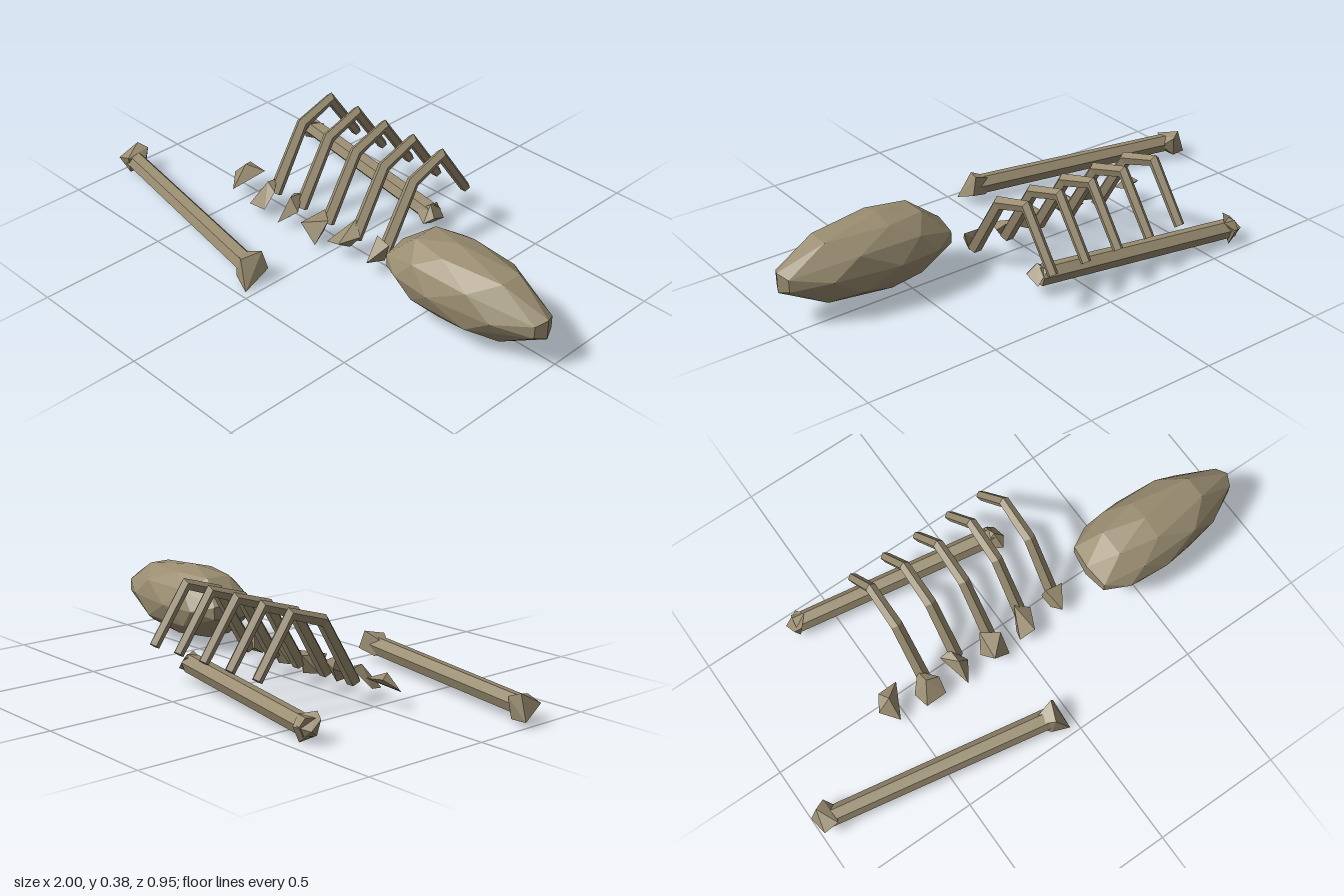
import * as THREE from 'three';
import { ConvexGeometry } from 'three/addons/geometries/ConvexGeometry.js';

export function createModel() {
  const model = new THREE.Group();
  const bone = new THREE.MeshStandardMaterial({ color: 0x998c70, flatShading: true });
  bone.name = 'old bone';

  const add = (name, geometry, parent = model) => {
    const mesh = new THREE.Mesh(geometry, bone);
    mesh.name = name;
    parent.add(mesh);
    return mesh;
  };
  const hull = (points) => new ConvexGeometry(points.map((p) => new THREE.Vector3(...p)));

  // Skull: a faceted ball, blunt at the back and drawn out to a snout
  const skull = new THREE.IcosahedronGeometry(1, 1).rotateX(Math.PI / 2);
  const pos = skull.attributes.position;
  for (let i = 0; i < pos.count; i++) {
    const u = THREE.MathUtils.clamp(pos.getX(i) / 0.851, -1, 1);
    const a = Math.abs(u);
    const taperY = 1 - 0.5 * THREE.MathUtils.smoothstep(a, 0.6, 1);
    const taperZ = u > 0 ? 1 - 0.5 * u ** 3 : 1 + 0.22 * a * a;
    pos.setXYZ(i, 0.6 + u * (u > 0 ? 0.4 : 0.26),
      0.175 + pos.getY(i) * 0.145 * taperY, 0.056 + pos.getZ(i) * 0.157 * taperZ);
  }
  skull.computeVertexNormals();
  add('skull', skull);

  // Rib: five-sided bar with mitred bends, following [z, y, radius] points
  const path = [[0.02, 0.06, 0.027], [-0.132, 0.306, 0.024], [-0.282, 0.354, 0.021], [-0.43, 0.148, 0.02]];
  const sides = 5;
  const ribGeometry = () => {
    const verts = [], index = [];
    path.forEach(([z, y, r], i) => {
      const dir = (j) => new THREE.Vector2(path[j + 1][0] - path[j][0], path[j + 1][1] - path[j][1]).normalize();
      const d0 = dir(Math.max(i - 1, 0)), d1 = dir(Math.min(i, path.length - 2));
      const t = d0.clone().add(d1).normalize();
      const stretch = r / t.dot(d0);
      for (let k = 0; k < sides; k++) {
        const a = (k / sides) * Math.PI * 2 + Math.PI / 2;
        const s = Math.sin(a) * stretch;
        verts.push(Math.cos(a) * r, y - t.x * s, z + t.y * s);
        if (i) {
          const p = (i - 1) * sides, n = (k + 1) % sides;
          index.push(p + k, p + n, p + sides + k, p + n, p + sides + n, p + sides + k);
        }
      }
    });
    const last = (path.length - 1) * sides;
    for (let k = 1; k < sides - 1; k++) {
      index.push(0, k + 1, k, last, last + k, last + k + 1);
    }
    const g = new THREE.BufferGeometry();
    g.setAttribute('position', new THREE.Float32BufferAttribute(verts, 3));
    // Keep the faces outward whichever way the path runs
    const v = (n) => new THREE.Vector3().fromArray(verts, index[n] * 3);
    const normal = v(1).sub(v(0)).cross(v(2).sub(v(0)));
    const outward = v(0).add(v(1)).multiplyScalar(0.5).sub(new THREE.Vector3(0, path[0][1], path[0][0]));
    if (normal.dot(outward) < 0) index.reverse();
    g.setIndex(index);
    g.computeVertexNormals();
    return g;
  };
  const ribs = new THREE.Group();
  ribs.name = 'ribs';
  model.add(ribs);
  for (let i = 0; i < 5; i++) {
    const rib = add('rib', ribGeometry(), ribs);
    rib.position.x = -0.373 + i * 0.146;
    rib.rotation.y = 0.02;
  }

  // Vertebrae: irregular chips in a row
  const vertebrae = new THREE.Group();
  vertebrae.name = 'vertebrae';
  model.add(vertebrae);
  [
    [[-0.585, 0.07, 0.04], [-0.55, 0.11, -0.01], [-0.47, 0.1, -0.015], [-0.53, 0.04, 0.1], [-0.53, 0.125, 0.03]],
    [[-0.385, 0.11, 0], [-0.435, 0.04, 0.05], [-0.42, 0.03, 0.11], [-0.335, 0.04, 0.11], [-0.33, 0.1, 0.06], [-0.38, 0.12, 0.05]],
    [[-0.285, 0.09, 0], [-0.24, 0.11, 0], [-0.2, 0.07, 0.06], [-0.245, 0.03, 0.125], [-0.24, 0.12, 0.06], [-0.25, 0.025, 0.05]],
    [[-0.11, 0.1, 0.005], [-0.145, 0.03, 0.06], [-0.12, 0.09, 0.12], [-0.05, 0.02, 0.115], [-0.045, 0.1, 0.05], [-0.09, 0.025, 0.03]],
    [[0.05, 0.13, 0], [0.105, 0.09, 0.03], [0.07, 0.08, 0.11], [0.005, 0.06, 0.105], [0.02, 0.03, 0.06], [0.06, 0.03, 0.04]],
    [[0.17, 0.07, 0.01], [0.18, 0.13, 0.02], [0.25, 0.125, 0.03], [0.205, 0.06, 0.1], [0.23, 0.05, 0.03], [0.18, 0.04, 0.06]],
  ].forEach((points) => add('vertebra', hull(points), vertebrae));

  // Long bones: six-sided shaft with a knobbly joint at each end
  const longBone = (name, from, to, knobs) => {
    const group = new THREE.Group();
    group.name = name;
    model.add(group);
    const a = new THREE.Vector3(...from), b = new THREE.Vector3(...to);
    const d = b.clone().sub(a);
    const shaft = add('shaft', new THREE.CylinderGeometry(0.039, 0.037, d.length(), 6), group);
    shaft.position.copy(a).add(b).multiplyScalar(0.5);
    shaft.quaternion.setFromUnitVectors(new THREE.Vector3(0, 1, 0), d.normalize());
    knobs.forEach((points) => add('joint', hull(points), group));
  };
  longBone('frontLegBone', [-0.96, 0.06, 0.255], [-0.08, 0.063, 0.415], [
    [[-1, 0.02, 0.215], [-0.97, 0.115, 0.22], [-0.93, 0.1, 0.2], [-0.9, 0.06, 0.24],
      [-0.93, 0.09, 0.3], [-0.99, 0.07, 0.3], [-0.95, 0.01, 0.28], [-0.94, 0.02, 0.21]],
    [[-0.165, 0.075, 0.4], [-0.05, 0.12, 0.375], [-0.03, 0.05, 0.365], [-0.03, 0, 0.475],
      [-0.08, 0.105, 0.45], [-0.1, 0.025, 0.455], [-0.1, 0.03, 0.38]],
  ]);
  longBone('backLegBone', [-0.65, 0.055, -0.435], [0.16, 0.07, -0.298], [
    [[-0.68, 0.05, -0.45], [-0.62, 0.06, -0.478], [-0.6, 0.09, -0.44], [-0.64, 0.1, -0.39],
      [-0.67, 0.08, -0.4], [-0.62, 0, -0.45], [-0.65, 0.02, -0.4]],
    [[0.15, 0.1, -0.332], [0.19, 0.05, -0.33], [0.195, 0.075, -0.27], [0.17, 0.055, -0.237],
      [0.1, 0.07, -0.27], [0.16, 0.115, -0.285], [0.16, 0.03, -0.29]],
  ]);

  return model;
}
